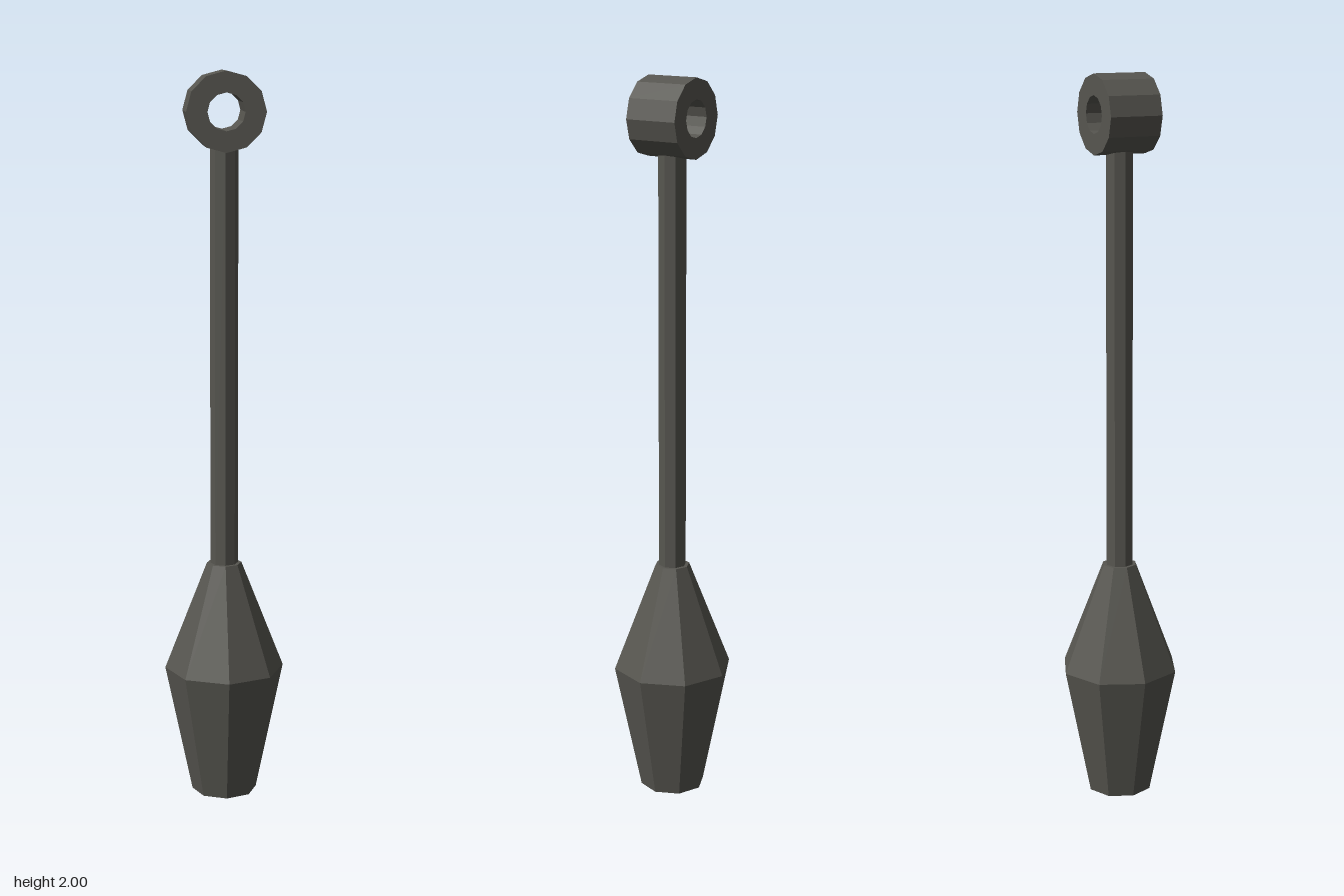
import * as THREE from 'three';

const SIDES = 8;

// Gives every face its own normal for a faceted look
function faceted(geometry) {
  const g = geometry.index ? geometry.toNonIndexed() : geometry;
  g.computeVertexNormals();
  return g;
}

// Octagonal section between two heights
function section(rTop, rBottom, yBottom, yTop, openEnded = false) {
  const g = new THREE.CylinderGeometry(rTop, rBottom, yTop - yBottom, SIDES, 1, openEnded);
  g.translate(0, (yBottom + yTop) / 2, 0);
  return g;
}

// Corners of a regular polygon
function polygon(radius, sides) {
  return Array.from({ length: sides }, (_, i) => {
    const a = (i / sides) * Math.PI * 2;
    return new THREE.Vector2(Math.cos(a) * radius, Math.sin(a) * radius);
  });
}

export function createModel() {
  const model = new THREE.Group();
  model.name = 'eyeletRod';

  const darkMetal = new THREE.MeshStandardMaterial({ color: 0x575650 });
  darkMetal.name = 'darkMetal';

  const add = (name, geometry) => {
    const mesh = new THREE.Mesh(faceted(geometry), darkMetal);
    mesh.name = name;
    model.add(mesh);
    return mesh;
  };

  // Weighted end: a taper below and a taper above the widest point
  add('weightLower', section(0.165, 0.09, 0, 0.36));
  add('weightUpper', section(0.048, 0.165, 0.36, 0.66));

  // Slim shaft
  add('shaft', section(0.038, 0.038, 0.64, 1.805));

  // Thick eyelet ring with its hole running front to back
  const depth = 0.148;
  const outline = new THREE.Shape(polygon(0.106, 12));
  outline.holes.push(new THREE.Path(polygon(0.05, 12)));
  const ring = new THREE.ExtrudeGeometry(outline, { depth, bevelEnabled: false });
  ring.translate(0, 1.894, -depth / 2);
  add('eyeletRing', ring);

  return model;
}
